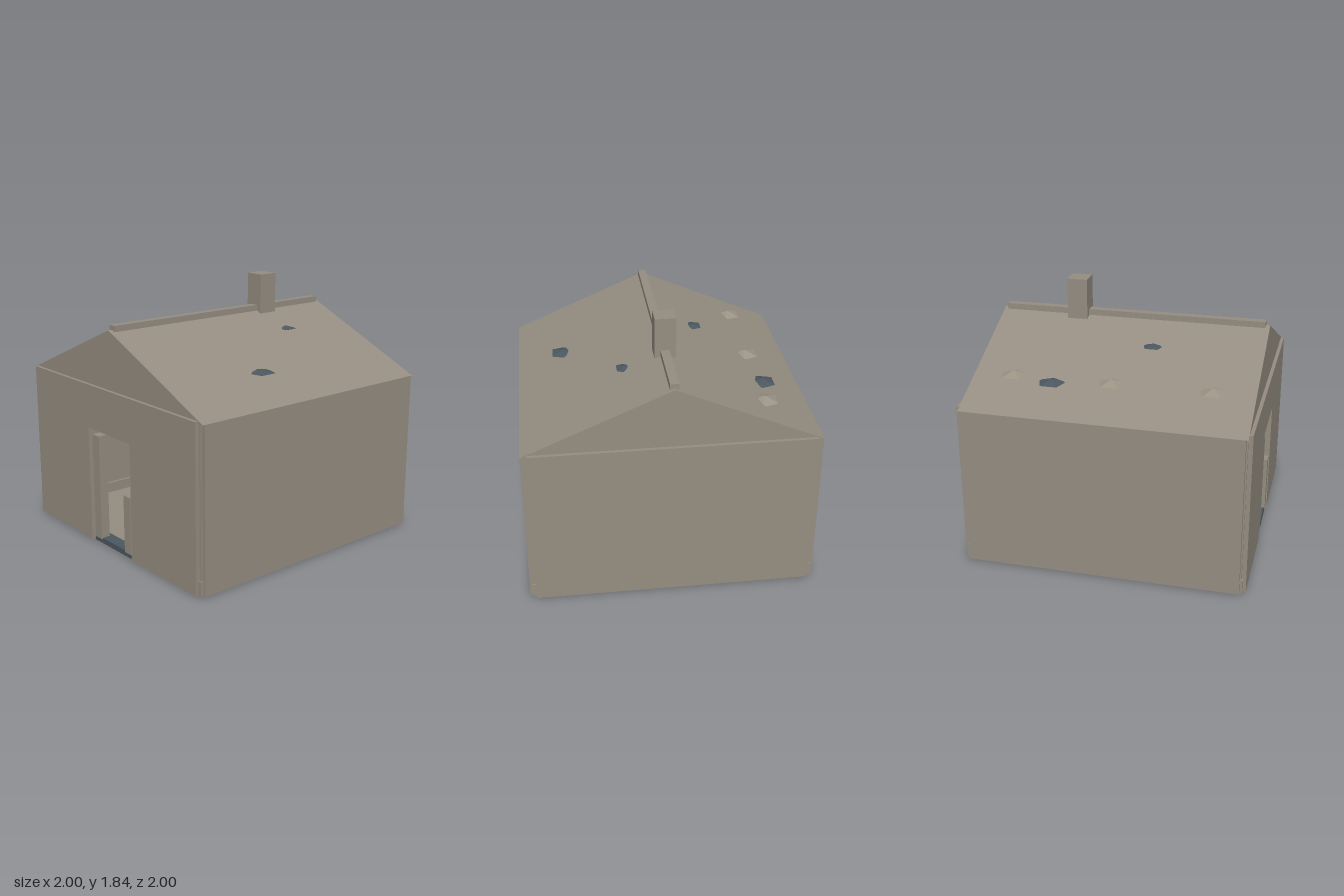
import * as THREE from 'three';

export function createModel() {
  const house = new THREE.Group();
  house.name = 'cottage';
  const material = (name, color) => {
    const m = new THREE.MeshStandardMaterial({ color, flatShading: true });
    m.name = name;
    return m;
  };
  const stone = material('weathered stone', 0x958d81);
  const paleStone = material('pale stone', 0x9b9384);
  const slate = material('dark slate', 0x4b5760);

  const add = (name, geometry, mat) => {
    const mesh = new THREE.Mesh(geometry, mat);
    mesh.name = name;
    house.add(mesh);
    return mesh;
  };
  // Box given by its minimum and maximum corners
  const box = (name, x0, x1, y0, y1, z0, z1, mat = stone) => {
    const mesh = add(name, new THREE.BoxGeometry(x1 - x0, y1 - y0, z1 - z0), mat);
    mesh.position.set((x0 + x1) / 2, (y0 + y1) / 2, (z0 + z1) / 2);
    return mesh;
  };

  // Floor, back wall and side walls
  box('floor', -0.96, 0.96, 0.01, 0.03, -0.98, 0.98);
  box('backWall', -0.955, 0.955, 0.01, 1.165, -1, -0.93);
  for (const s of [-1, 1]) {
    const [a, b] = s < 0 ? [-1, -0.93] : [0.93, 1];
    box('sideWall', a, b, 0.01, 1.15, -0.96, 0.96);
  }

  // Front wall with the doorway cut out
  const wall = new THREE.Shape();
  [[-0.955, 0.01], [-0.25, 0.01], [-0.25, 0.85], [0.25, 0.85], [0.25, 0.01],
    [0.955, 0.01], [0.955, 1.165], [-0.955, 1.165]]
    .forEach(([x, y], i) => (i ? wall.lineTo(x, y) : wall.moveTo(x, y)));
  wall.closePath();
  add('frontWall', new THREE.ExtrudeGeometry(wall, { depth: 0.07, bevelEnabled: false }), stone)
    .position.z = 0.93;

  // Corner posts and the short plinth blocks at their feet
  for (const sx of [-1, 1]) {
    for (const sz of [-1, 1]) {
      const post = box('cornerPost', -0.025, 0.025, 0.01, 1.16, -0.025, 0.025);
      post.position.x = sx * 0.945;
      post.position.z = sz * 0.945;
      const plinth = box('cornerPlinth', -0.025, 0.025, 0.01, 0.11, -0.025, 0.025);
      plinth.position.x = sx * 0.955;
      plinth.position.z = sz * 0.955;
    }
  }

  // Skirting inside the room
  box('backSkirting', -0.93, 0.93, 0.03, 0.11, -0.93, -0.91);
  box('rightSkirting', -0.93, -0.91, 0.03, 0.11, -0.91, 0.93);
  box('leftSkirting', 0.91, 0.93, 0.03, 0.11, -0.91, 0.93);

  // Doorway: threshold, frame feet and broken door planks
  box('threshold', -0.22, 0.22, 0.01, 0.05, 0.9, 0.99, slate);
  for (const s of [-1, 1]) {
    const foot = box('doorFrameFoot', -0.03, 0.03, 0, 0.012, 0.93, 0.999);
    foot.position.x = s * 0.28;
  }
  box('tallDoorPlank', -0.21, -0.13, 0.04, 0.81, 0.93, 0.995);
  box('brokenDoorPlank', 0.155, 0.23, 0.04, 0.46, 0.93, 0.995);

  // Gabled roof
  const gable = new THREE.Shape();
  gable.moveTo(-1, 1.15);
  gable.lineTo(1, 1.15);
  gable.lineTo(0, 1.58);
  gable.closePath();
  add('roof', new THREE.ExtrudeGeometry(gable, { depth: 1.95, bevelEnabled: false }), stone)
    .position.z = -0.975;
  box('ridgeBeam', -0.03, 0.03, 1.56, 1.61, -0.95, 0.945);
  box('chimney', -0.075, 0.07, 1.45, 1.84, -0.475, -0.33);

  // Five-sided lens, with its flat edge facing down the slope
  const lens = (name, x, y, z, radius, height, mat) => {
    const points = [[0, -height], [radius, 0], [0, height]].map(([r, h]) => new THREE.Vector2(r, h));
    const mesh = add(name, new THREE.LatheGeometry(points, 5).toNonIndexed(), mat);
    mesh.geometry.computeVertexNormals();
    mesh.position.set(x, y, z);
    mesh.rotation.y = x < 0 ? Math.PI / 2 : -Math.PI / 2;
    // A lathe starts at +z, so a quarter turn points one corner at the ridge
  };
  for (const z of [-0.69, 0, 0.69]) lens('paleRoofStone', -0.65, 1.305, z, 0.1, 0.034, paleStone);
  lens('largeRoofPatch', -0.69, 1.29, -0.41, 0.1, 0.028, slate);
  lens('largeRoofPatch', 0.665, 1.295, 0.2, 0.1, 0.025, slate);
  lens('smallRoofPatch', -0.285, 1.458, 0.2, 0.076, 0.018, slate);
  lens('smallRoofPatch', 0.262, 1.46, -0.41, 0.076, 0.018, slate);

  return house;
}
